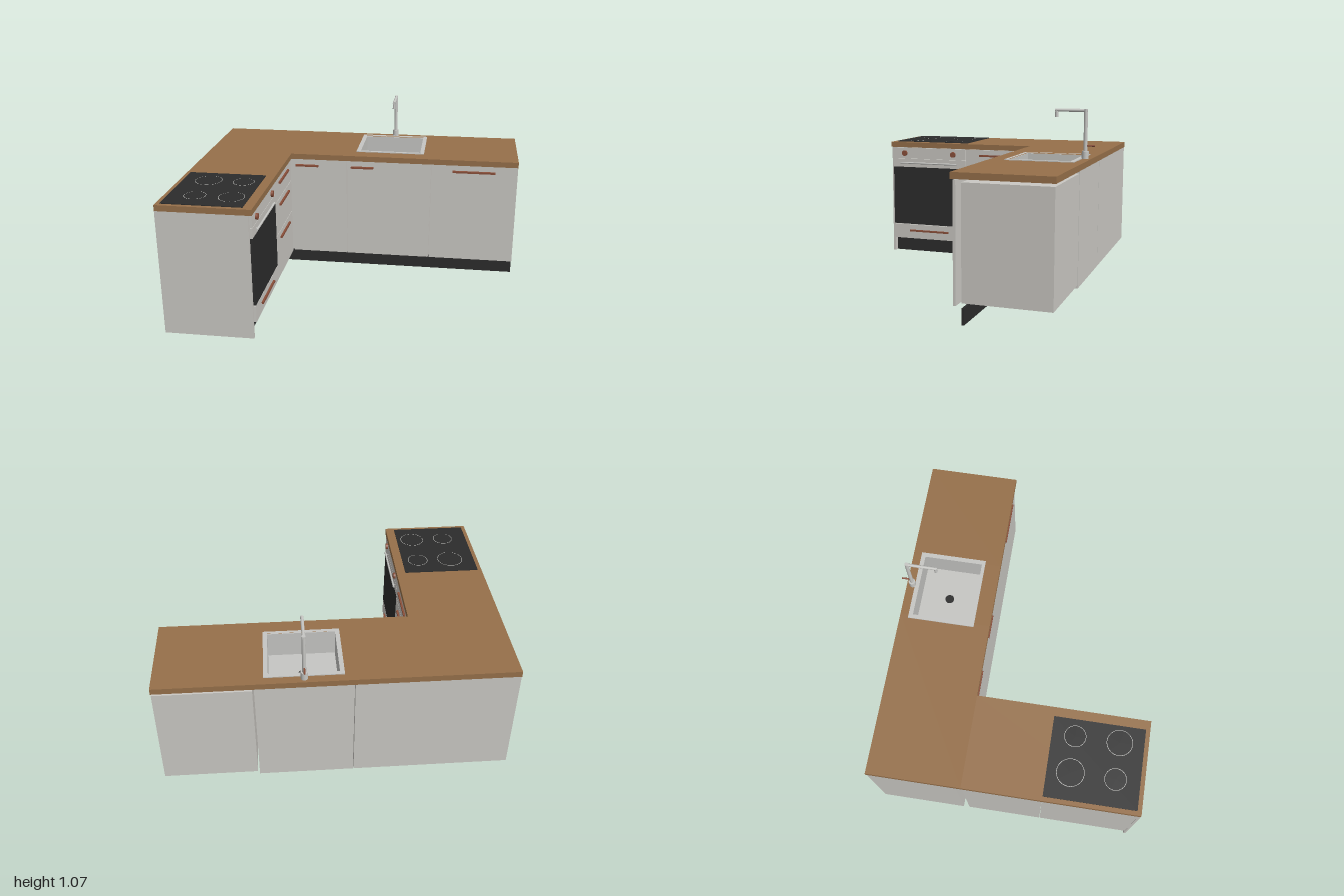
import * as THREE from 'three';

export function createModel() {
  const root = new THREE.Group();
  root.name = 'cornerKitchen';
  const mat = (name, color) => {
    const m = new THREE.MeshStandardMaterial({ color });
    m.name = name;
    return m;
  };
  const white = mat('cabinetWhite', 0xcac8c3);
  const wood = mat('worktopWood', 0x96704a);
  const black = mat('black', 0x2c2c2c);
  const steel = mat('steel', 0xc6c6c3);
  const copper = mat('copper', 0x8a4f3a);

  const add = (name, geo, m, x, y, z) => {
    const mesh = new THREE.Mesh(geo, m);
    mesh.name = name;
    mesh.position.set(x, y, z);
    root.add(mesh);
    return mesh;
  };
  // box given by its lower and upper bounds
  const box = (name, m, x0, x1, y0, y1, z0, z1) =>
    add(name, new THREE.BoxGeometry(x1 - x0, y1 - y0, z1 - z0), m, (x0 + x1) / 2, (y0 + y1) / 2, (z0 + z1) / 2);
  // cylinder running along an axis
  const rod = (name, m, r, len, axis, x, y, z, seg = 24) => {
    const g = new THREE.CylinderGeometry(r, r, len, seg);
    if (axis === 'x') g.rotateZ(Math.PI / 2);
    if (axis === 'z') g.rotateX(Math.PI / 2);
    return add(name, g, m, x, y, z);
  };

  // worktop, with an opening left for the sink
  const T0 = 0.75, T1 = 0.785;
  box('worktopCorner', wood, -1, -0.02, T0, T1, -0.77, -0.225);
  box('worktopRight', wood, 0.38, 1, T0, T1, -0.77, -0.225);
  box('worktopBehindSink', wood, -0.02, 0.38, T0, T1, -0.77, -0.70);
  box('worktopBeforeSink', wood, -0.02, 0.38, T0, T1, -0.335, -0.225);
  box('worktopSide', wood, -1, -0.455, T0, T1, -0.225, 0.79);

  // back run cabinets
  box('cornerCabinet', white, -1, -0.094, 0.095, T0, -0.765, -0.256);
  box('dishwasherBody', white, 0.462, 0.998, 0.115, 0.735, -0.765, -0.285);
  box('sinkCabinetLeft', white, -0.09, -0.075, 0.095, T0, -0.765, -0.256);
  box('sinkCabinetRight', white, 0.437, 0.452, 0.095, T0, -0.765, -0.256);
  box('sinkCabinetBack', white, -0.075, 0.437, 0.095, T0, -0.765, -0.75);
  box('sinkCabinetBottom', white, -0.075, 0.437, 0.095, 0.11, -0.75, -0.256);

  // doors and their handles: x range, handle range
  const doors = [
    ['cornerDoor', -0.453, -0.094, -0.43, -0.28],
    ['sinkDoor', -0.09, 0.45, -0.065, 0.08],
    ['dishwasherDoor', 0.455, 1, 0.59, 0.86],
  ];
  for (const [name, a, b, h0, h1] of doors) {
    box(name, white, a, b, 0.098, 0.747, -0.255, -0.24);
    box(name + 'Handle', copper, h0, h1, 0.7, 0.711, -0.24, -0.223);
  }

  // side run cabinets and end panel
  box('drawerCabinet', white, -0.998, -0.476, 0.095, T0, -0.22, 0.229);
  box('ovenCabinet', white, -0.998, -0.476, 0.095, T0, 0.233, 0.775);
  box('endPanel', white, -1, -0.475, 0, T0, 0.775, 0.79);

  // drawer fronts
  for (const [y0, y1, hy] of [[0.607, 0.747, 0.708], [0.392, 0.603, 0.565], [0.098, 0.388, 0.347]]) {
    box('drawerFront', white, -0.475, -0.46, y0, y1, -0.22, 0.229);
    box('drawerHandle', copper, -0.46, -0.448, hy - 0.006, hy + 0.006, -0.12, 0.13);
  }

  // oven
  box('ovenControlPanel', white, -0.475, -0.46, 0.672, 0.747, 0.233, 0.773);
  box('ovenDoorTop', white, -0.475, -0.46, 0.61, 0.669, 0.233, 0.773);
  box('ovenGlass', black, -0.475, -0.46, 0.202, 0.61, 0.233, 0.773);
  box('ovenDrawer', white, -0.475, -0.46, 0.098, 0.198, 0.233, 0.773);
  box('ovenDrawerHandle', copper, -0.46, -0.448, 0.149, 0.161, 0.36, 0.65);
  rod('ovenDoorHandle', steel, 0.006, 0.42, 'z', -0.45, 0.64, 0.505, 16);
  for (const z of [0.32, 0.69]) {
    rod('ovenHandlePost', steel, 0.004, 0.012, 'x', -0.455, 0.64, z, 12);
  }
  for (const z of [0.323, 0.686]) {
    rod('ovenKnob', copper, 0.019, 0.014, 'x', -0.454, 0.708, z);
  }

  // plinths
  box('plinthBack', black, -0.51, 1, 0, 0.09, -0.3, -0.287);
  box('plinthSide', black, -0.525, -0.51, 0, 0.09, -0.22, 0.775);
  box('plinthSideEnd', black, -0.525, -0.51, 0, 0.09, -0.3, -0.22);

  // hob with ringed cooking zones
  box('hob', black, -0.975, -0.51, T1, 0.789, 0.235, 0.765);
  for (const [x, z, r] of [[-0.82, 0.37, 0.08], [-0.61, 0.37, 0.063], [-0.82, 0.625, 0.063], [-0.61, 0.625, 0.075]]) {
    rod('cookingZone', black, r - 0.003, 0.002, 'y', x, 0.79, z, 40);
    const ring = new THREE.RingGeometry(r - 0.003, r, 40);
    ring.rotateX(-Math.PI / 2);
    add('cookingZoneRing', ring, steel, x, 0.7905, z);
  }

  // sink: rim plate with an opening, then four walls and a floor
  const rect = (S, x0, x1, z0, z1) => {
    const s = new S();
    s.moveTo(x0, -z0);
    s.lineTo(x1, -z0);
    s.lineTo(x1, -z1);
    s.lineTo(x0, -z1);
    s.closePath();
    return s;
  };
  const rimShape = rect(THREE.Shape, -0.04, 0.4, -0.72, -0.32);
  rimShape.holes.push(rect(THREE.Path, -0.015, 0.375, -0.695, -0.34));
  const rim = new THREE.ExtrudeGeometry(rimShape, { depth: 0.005, bevelEnabled: false });
  rim.rotateX(-Math.PI / 2);
  add('sinkRim', rim, steel, 0, T1, 0);
  const F = 0.63;
  box('sinkWallLeft', steel, -0.02, -0.015, F, T1, -0.70, -0.335);
  box('sinkWallRight', steel, 0.375, 0.38, F, T1, -0.70, -0.335);
  box('sinkWallBack', steel, -0.015, 0.375, F, T1, -0.70, -0.695);
  box('sinkWallFront', steel, -0.015, 0.375, F, T1, -0.34, -0.335);
  box('sinkFloor', steel, -0.02, 0.38, F - 0.005, F, -0.70, -0.335);
  rod('sinkDrain', black, 0.027, 0.004, 'y', 0.18, F + 0.002, -0.52);

  // tap
  rod('tapBase', steel, 0.02, 0.045, 'y', 0.18, 0.807, -0.735);
  rod('tapColumn', steel, 0.011, 0.24, 'y', 0.18, 0.949, -0.735);
  rod('tapSpout', steel, 0.009, 0.19, 'z', 0.18, 1.06, -0.65);
  rod('tapNozzle', steel, 0.009, 0.042, 'y', 0.18, 1.041, -0.565);
  rod('tapLever', copper, 0.005, 0.045, 'z', 0.18, 0.86, -0.767, 12);

  return root;
}
